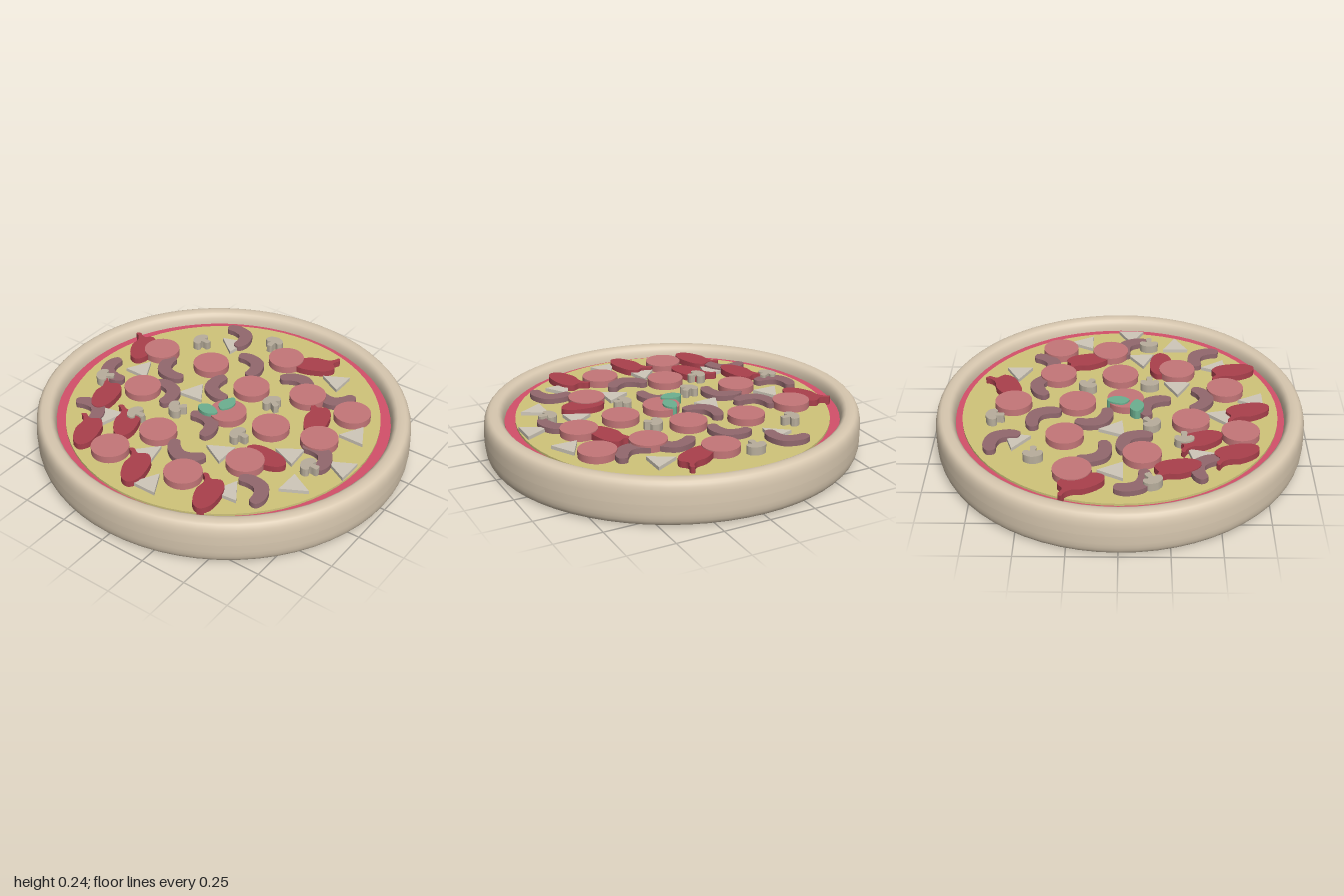
import * as THREE from 'three';
import { toCreasedNormals } from 'three/addons/utils/BufferGeometryUtils.js';

const mat = (color) => new THREE.MeshStandardMaterial({ color });
const BASE = 0.175; // toppings start just inside the cheese

// Flat slab from an outline; smooth outlines are rounded by a closed spline
function slab(points, top, smooth = true) {
  let pts = points.map(([u, v]) => new THREE.Vector3(u, v, 0));
  if (smooth) pts = new THREE.CatmullRomCurve3(pts, true).getPoints(40).slice(0, -1);
  const shape = new THREE.Shape(pts.map((p) => new THREE.Vector2(p.x, p.y)));
  const geo = new THREE.ExtrudeGeometry(shape, { depth: top - BASE, bevelEnabled: false });
  geo.rotateX(-Math.PI / 2);
  return toCreasedNormals(geo, 0.7);
}

// Scatter one geometry over a list of [x, z, degrees]
function scatter(name, geo, color, spots, y = BASE) {
  const group = new THREE.Group();
  group.name = name + 's';
  const material = mat(color);
  for (const [x, z, deg = 0] of spots) {
    const mesh = new THREE.Mesh(geo, material);
    mesh.name = name;
    mesh.position.set(x, y, z);
    mesh.rotation.y = -THREE.MathUtils.degToRad(deg);
    group.add(mesh);
  }
  return group;
}

const heading = (ax, az, bx, bz) => THREE.MathUtils.radToDeg(Math.atan2(bz - az, bx - ax));

function disc(name, radius, bottom, top, color) {
  const mesh = new THREE.Mesh(new THREE.CylinderGeometry(radius, radius, top - bottom, 64), mat(color));
  mesh.name = name;
  mesh.position.y = (top + bottom) / 2;
  return mesh;
}

export function createModel() {
  const pizza = new THREE.Group();
  pizza.name = 'pizza';

  // Crust: rounded, tall oval section swept round, slightly narrower in x
  const section = [];
  const power = (t) => Math.sign(t) * Math.pow(Math.abs(t), 0.65);
  for (let i = 0; i <= 28; i++) {
    const a = (i / 28) * Math.PI * 2;
    section.push(new THREE.Vector2(0.945 + 0.055 * power(Math.cos(a)), 0.119 + 0.119 * power(Math.sin(a))));
  }
  const crustMat = mat(0xd8c8b0);
  crustMat.side = THREE.DoubleSide;
  const crust = new THREE.Mesh(new THREE.LatheGeometry(section, 64), crustMat);
  crust.name = 'crust';
  crust.scale.x = 0.972;
  pizza.add(crust);

  // Sauce base and cheese
  pizza.add(disc('sauce', 0.888, 0.087, 0.174, 0xd4506a));
  pizza.add(disc('cheese', 0.832, 0.16, 0.186, 0xd0c47a));

  // Round sausage slices
  const slice = new THREE.CylinderGeometry(0.098, 0.098, 0.05, 32).translate(0, 0.025, 0);
  pizza.add(scatter('sausageSlice', slice, 0xc47678, [
    [0.23, -0.595], [-0.115, -0.455], [-0.62, -0.257], [-0.37, -0.145], [0.28, -0.287],
    [0.225, 0.025], [0.565, 0.025], [-0.03, 0.053], [-0.566, 0.167], [-0.312, 0.362],
    [0, 0.305], [0.34, 0.312], [0.057, 0.565], [0.34, 0.59],
  ]));

  // Curved onion strips, each given by its two ends
  const strip = slab([
    [-0.115, -0.02], [-0.1, 0.03], [-0.05, 0.07], [0, 0.085], [0.05, 0.07], [0.1, 0.03],
    [0.115, -0.02], [0.08, -0.04], [0.045, -0.01], [0, 0.01], [-0.045, -0.01], [-0.08, -0.04],
  ], 0.215);
  pizza.add(scatter('onionStrip', strip, 0x92686e, [
    [0.65, -0.39, 0.55, -0.28], [-0.12, -0.63, -0.02, -0.73], [0.08, -0.38, 0.17, -0.49],
    [-0.02, -0.39, -0.13, -0.28], [0.07, -0.07, 0.19, -0.16], [0.45, -0.17, 0.35, -0.06],
    [-0.42, 0.13, -0.41, 0.01], [-0.14, -0.06, -0.23, 0.06], [-0.4, -0.63, -0.47, -0.49],
    [-0.42, 0.45, -0.51, 0.57], [0.42, 0.13, 0.39, 0.28], [0.44, 0.49, 0.4, 0.37],
    [-0.02, 0.56, -0.12, 0.69],
  ].map(([ax, az, bx, bz]) => [(ax + bx) / 2, (az + bz) / 2, heading(ax, az, bx, bz)])));

  // Chilli peppers, each given by its stem and tip
  const chilli = slab([
    [0, -0.01], [0, 0.015], [0.04, 0.035], [0.045, 0.085], [0.09, 0.105], [0.15, 0.095],
    [0.24, 0.05], [0.265, 0], [0.23, -0.035], [0.12, -0.03], [0.07, 0], [0.03, 0.003],
  ], 0.22);
  pizza.add(scatter('chilli', chilli, 0xaa404c, [
    [-0.49, -0.55, -0.7, -0.39], [-0.18, -0.67, -0.39, -0.54], [0.28, -0.81, 0.06, -0.64],
    [-0.32, -0.44, -0.53, -0.26], [-0.57, -0.16, -0.79, 0], [-0.51, 0.26, -0.73, 0.39],
    [0.73, 0.27, 0.55, 0.08], [-0.3, 0.29, -0.22, 0.54], [0.29, 0.36, 0.07, 0.51],
  ].map(([ax, az, bx, bz]) => [ax, az, heading(ax, az, bx, bz)])));

  // Thin triangular cheese chips
  const chip = slab([[0.08, 0], [-0.05, 0.07], [-0.05, -0.07]], 0.205, false);
  pizza.add(scatter('cheeseChip', chip, 0xcfc8ba, [
    [0.03, -0.58, 0], [-0.4, -0.46, -75], [0.03, -0.21, -5], [-0.53, -0.08, 15], [0.53, -0.32, -80],
    [-0.71, 0.07, 0], [-0.31, 0.2, -90], [0.56, 0.35, -90], [-0.53, 0.42, -5], [-0.12, 0.5, -95],
    [-0.31, 0.66, 90], [0.21, 0.69, 0], [-0.06, 0.77, -90],
  ]));

  // Mushroom slices
  const mushroom = slab([
    [-0.05, 0], [-0.045, 0.03], [0, 0.05], [0.045, 0.03], [0.05, 0], [0.035, -0.012],
    [0.015, -0.005], [0.015, -0.045], [-0.015, -0.045], [-0.015, -0.005], [-0.035, -0.012],
  ], 0.23);
  pizza.add(scatter('mushroomSlice', mushroom, 0xb8ae9c, [
    [-0.16, -0.68, -30], [0.43, -0.46, 0], [-0.33, -0.32, 0], [-0.16, -0.18, -40],
    [0.65, -0.12, 90], [-0.16, 0.22, 0], [0.17, 0.2, 30], [-0.16, 0.65, 0],
  ]));

  // Basil leaves in the middle
  const leaf = slab([
    [-0.06, 0], [-0.03, 0.035], [0.02, 0.03], [0.06, 0], [0.02, -0.035], [-0.03, -0.03],
  ], 0.235);
  pizza.add(scatter('basilLeaf', leaf, 0x6cb090, [[-0.09, -0.035, 90], [0.01, 0.02, 0]]));

  return pizza;
}
